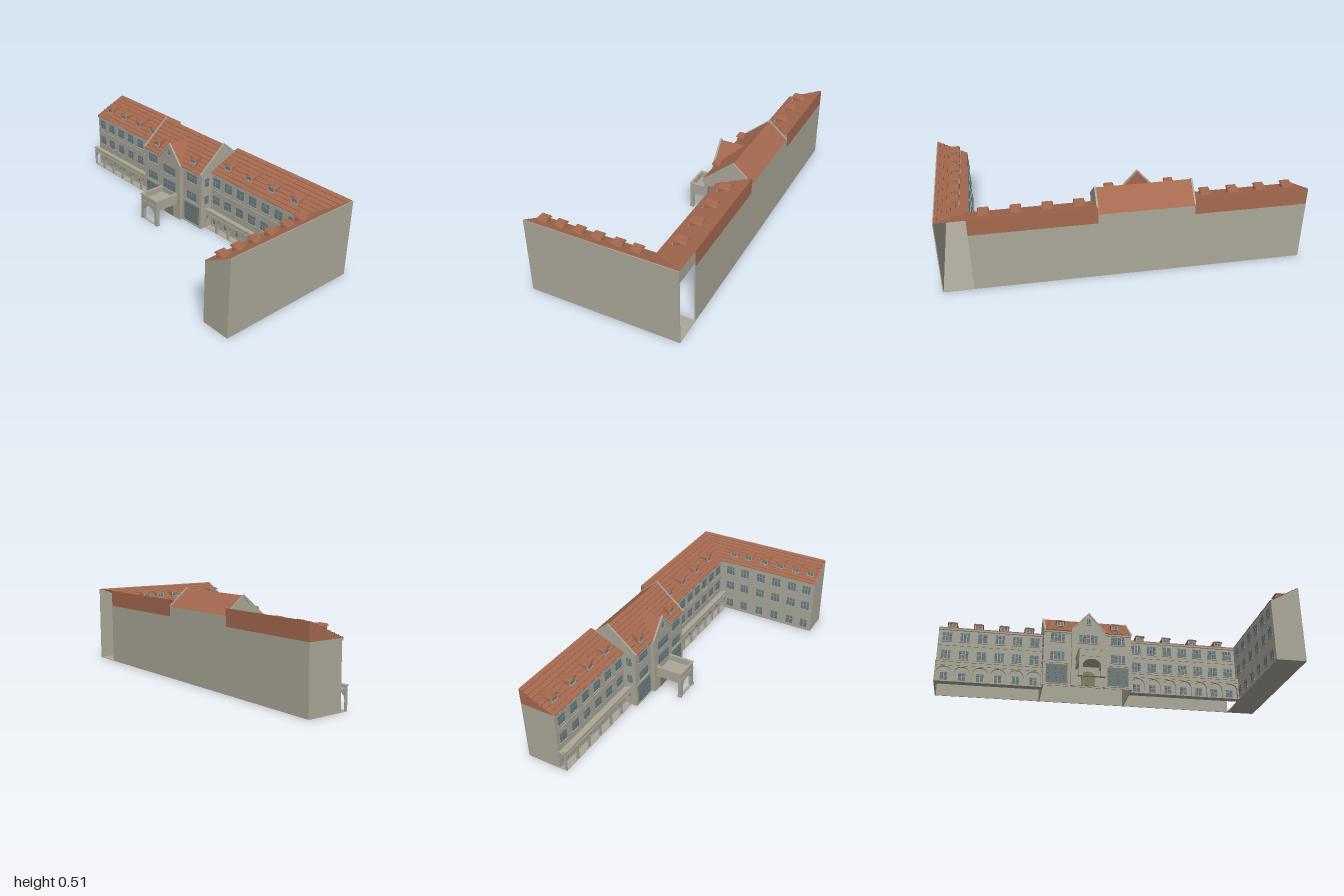
import * as THREE from 'three';

const mat = (name, color, side = THREE.FrontSide) => {
  const m = new THREE.MeshStandardMaterial({ color, side });
  m.name = name;
  return m;
};

export function createModel() {
  const stone = mat('stone', 0xaaa698, THREE.DoubleSide);
  const tile = mat('roofTile', 0xa5694f, THREE.DoubleSide);
  const glass = mat('windowGlass', 0x687c84);
  const olive = mat('doorWood', 0x807d60);
  const model = new THREE.Group();
  model.name = 'building';

  const add = (parent, name, geo, m) => {
    const mesh = new THREE.Mesh(geo, m);
    mesh.name = name;
    parent.add(mesh);
    return mesh;
  };
  // Box given by its extents
  const box = (p, name, m, x0, x1, y0, y1, z0, z1) => {
    const b = add(p, name, new THREE.BoxGeometry(x1 - x0, y1 - y0, z1 - z0), m);
    b.position.set((x0 + x1) / 2, (y0 + y1) / 2, (z0 + z1) / 2);
    return b;
  };
  const outline = pts => new THREE.Shape(pts.map(p => new THREE.Vector2(p[0], p[1])));
  // (x, y) outline extruded along z
  const prismZ = (name, m, pts, z0, z1) => {
    const g = new THREE.ExtrudeGeometry(outline(pts), { depth: z1 - z0, bevelEnabled: false });
    return add(model, name, g.translate(0, 0, z0), m);
  };
  // (z, y) outline extruded along x
  const prismX = (name, m, pts, x0, x1) => {
    const g = new THREE.ExtrudeGeometry(outline(pts.map(([z, y]) => [-z, y])), { depth: x1 - x0, bevelEnabled: false });
    return add(model, name, g.rotateY(Math.PI / 2).translate(x0, 0, 0), m);
  };
  // Flat polygon fan
  const face = (name, m, ...pts) => {
    const v = [];
    for (let i = 1; i < pts.length - 1; i++) v.push(...pts[0], ...pts[i], ...pts[i + 1]);
    const g = new THREE.BufferGeometry();
    g.setAttribute('position', new THREE.Float32BufferAttribute(v, 3));
    g.computeVertexNormals();
    return add(model, name, g, m);
  };
  // Roof slope laid in overlapping courses from eave a-b up to ridge c-d
  const courses = (name, a, b, c, d, n) => {
    const v = [], lerp = (p, q, t, dy) => p.map((k, i) => k + (q[i] - k) * t + (i === 1 ? dy : 0));
    const quad = (p, q, r, s) => v.push(...p, ...q, ...r, ...p, ...r, ...s);
    for (let i = 0; i < n; i++) {
      const t = i / n, u = (i + 1) / n, h = 0.004;
      quad(lerp(a, c, t, h), lerp(b, d, t, h), lerp(b, d, u, 0), lerp(a, c, u, 0));
      quad(lerp(a, c, t, -0.001), lerp(b, d, t, -0.001), lerp(b, d, t, h), lerp(a, c, t, h));
    }
    const g = new THREE.BufferGeometry();
    g.setAttribute('position', new THREE.Float32BufferAttribute(v, 3));
    g.computeVertexNormals();
    add(model, name, g, tile);
  };
  // Window of several panes with a transom, a sill and a head
  const win = (p, x, y, w, h, cols, z, rows = [0.62, 0.38]) => {
    const pw = w / cols, gap = 0.005;
    for (let c = 0; c < cols; c++) {
      let yy = y;
      for (const r of rows) {
        const x0 = x - w / 2 + c * pw;
        box(p, 'windowPane', glass, x0 + gap / 2, x0 + pw - gap / 2, yy, yy + r * h - 0.004, z - 0.004, z + 0.004);
        yy += r * h;
      }
    }
    box(p, 'windowSill', stone, x - w / 2 - 0.003, x + w / 2 + 0.003, y - 0.006, y - 0.001, z - 0.002, z + 0.007);
  };

  const EAVE = 0.355, RIDGE = 0.45, BACK = -0.435, WALL = -0.23, CX = -0.113;

  // Main range walls
  for (const [x0, x1] of [[-1, -0.375], [0.15, 0.832]]) {
    box(model, 'frontWall', stone, x0, x1, 0, EAVE, WALL - 0.005, WALL);
    box(model, 'backWall', stone, x0, x1, 0, EAVE, BACK, BACK + 0.005);
    face('roofBack', tile, [x1, EAVE, BACK], [x0, EAVE, BACK], [x0, RIDGE, BACK], [x1, RIDGE, BACK]);
    box(model, 'eavesCornice', stone, x0, x1, EAVE - 0.012, EAVE - 0.002, WALL, WALL + 0.008);
    box(model, 'stringCourse', stone, x0, x1, 0.243, 0.249, WALL, WALL + 0.004);
  }
  box(model, 'endWall', stone, -1, -0.995, 0, EAVE, BACK, WALL);
  face('roofEnd', tile, [-1, EAVE, BACK], [-1, EAVE, -0.225], [-1, RIDGE, BACK]);
  courses('leftRoof', [-1, EAVE, -0.222], [-0.375, EAVE, -0.222], [-1, RIDGE, BACK], [-0.375, RIDGE, BACK], 8);
  courses('rightRoof', [0.15, EAVE, -0.222], [0.828, EAVE, -0.222], [0.15, RIDGE, BACK], [1, RIDGE, BACK], 8);

  // Arcades with windows behind and above
  const arcade = (x0, x1, n) => {
    const bay = (x1 - x0) / n, shape = outline([[x0, 0], [x1, 0], [x1, 0.125], [x0, 0.125]]);
    for (let i = 0; i < n; i++) {
      const c = x0 + bay * (i + 0.5), r = bay * 0.42;
      const hole = new THREE.Path();
      hole.moveTo(c - r, 0.001);
      hole.lineTo(c + r, 0.001);
      hole.lineTo(c + r, 0.055);
      hole.absellipse(c, 0.055, r, 0.04, 0, Math.PI, false);
      hole.lineTo(c - r, 0.001);
      shape.holes.push(hole);
      win(model, c, 0.022, 0.046, 0.052, 2, WALL);
      win(model, c, 0.158, 0.058, 0.058, i % 3 === 2 ? 2 : 3, WALL);
      win(model, c, 0.272, 0.058, 0.06, i % 3 === 2 ? 2 : 3, WALL);
    }
    const g = new THREE.ExtrudeGeometry(shape, { depth: 0.012, bevelEnabled: false, curveSegments: 10 });
    add(model, 'arcadeFront', g.translate(0, 0, -0.2), stone);
    box(model, 'arcadeRoof', stone, x0, x1, 0.106, 0.114, WALL, -0.19);
    box(model, 'arcadeCoping', stone, x0, x1, 0.121, 0.129, -0.205, -0.183);
    box(model, 'arcadeBand', stone, x0, x1, 0.099, 0.104, -0.19, -0.184);
    box(model, 'arcadeFloor', stone, x0, x1, 0, 0.003, WALL, -0.188);
  };
  arcade(-1, -0.375, 6);
  arcade(0.15, 0.83, 7);

  // Side wing with a single-pitch roof
  box(model, 'wingOuterWall', stone, 0.995, 1, 0, RIDGE, BACK, 0.435);
  box(model, 'wingInnerWall', stone, 0.83, 0.835, 0, EAVE, WALL, 0.435);
  box(model, 'wingFloor', stone, 0.83, 1, 0, 0.003, BACK, 0.435);
  prismZ('wingEndWall', stone, [[0.83, 0], [1, 0], [1, RIDGE], [0.83, EAVE]], 0.43, 0.435);
  courses('wingRoof', [0.828, EAVE, 0.435], [0.828, EAVE, -0.222], [1, RIDGE, 0.435], [1, RIDGE, BACK], 8);
  const wing = new THREE.Group();
  wing.name = 'wingFacade';
  wing.rotation.y = -Math.PI / 2;
  wing.position.x = 0.83;
  model.add(wing);
  const wingBays = [-0.155, -0.05, 0.065, 0.175, 0.285, 0.385];
  for (const z of wingBays) {
    win(wing, z, 0.022, 0.05, 0.06, 2, 0);
    win(wing, z, 0.158, 0.058, 0.058, 3, 0);
    win(wing, z, 0.272, 0.058, 0.06, 3, 0);
  }

  // Dormers: back reaches into the slope behind
  const dormer = (parent, x, z, y, depth, w = 0.05) => {
    const d = new THREE.Group();
    d.name = 'dormer';
    d.position.set(x, y, z);
    parent.add(d);
    box(d, 'dormerBody', tile, -w / 2, w / 2, -0.008, 0.034, -depth, -0.003);
    box(d, 'dormerFront', stone, -w / 2, w / 2, 0, 0.034, -0.003, 0);
    win(d, 0, 0.007, w - 0.012, 0.025, 2, 0, [1]);
    const roof = add(d, 'dormerRoof', new THREE.CylinderGeometry(0.7 * w, 0.86 * w, 0.01, 4, 1), tile);
    roof.geometry.rotateY(Math.PI / 4).scale(1, 1, (depth + 0.008) / (w * 1.22));
    roof.position.set(0, 0.037, -depth / 2 + 0.003);
  };
  for (const x of [-0.925, -0.77, -0.615, -0.46, 0.235, 0.405, 0.575, 0.745]) dormer(model, x, -0.278, 0.38, 0.075);
  for (const z of wingBays) dormer(wing, z, -0.045, 0.38, 0.058);
  for (const s of [-1, 1]) dormer(model, CX + s * 0.168, -0.168, 0.392, 0.04, 0.045);

  // Central block
  const X0 = -0.375, X1 = 0.15, CF = -0.15, TOP = 0.508, MID = -0.32, BE = 0.41;
  box(model, 'centreFrontWall', stone, X0, X1, 0, EAVE, CF - 0.005, CF);
  box(model, 'centreBackWall', stone, X0, X1, 0, BE, BACK, BACK + 0.005);
  box(model, 'centreCornice', stone, X0, X1, EAVE - 0.014, EAVE - 0.004, CF, CF + 0.008);
  box(model, 'centreStringCourse', stone, X0, X1, 0.144, 0.15, CF, CF + 0.004);
  courses('centreRoofFront', [X0, EAVE, -0.14], [X1, EAVE, -0.14], [X0, TOP, MID], [X1, TOP, MID], 9);
  face('centreRoofBack', tile, [X1, BE, BACK], [X0, BE, BACK], [X0, TOP, MID], [X1, TOP, MID]);
  const gable = [[BACK, 0], [CF, 0], [CF, EAVE], [MID, TOP], [BACK, BE]];
  const coping = [[-0.14, EAVE - 0.01], [-0.14, EAVE + 0.007], [MID, TOP + 0.006], [BACK, BE + 0.006], [BACK, BE - 0.01], [MID, TOP - 0.01]];
  for (const [x, s] of [[X0, -1], [X1, 1]]) {
    prismX('centreGableWall', stone, gable, x - 0.003, x + 0.003);
    prismX('gableCoping', stone, coping, x - 0.005, x + 0.005);
    const side = new THREE.Group();
    side.name = 'gableSideWindows';
    side.rotation.y = s * Math.PI / 2;
    side.position.set(x + s * 0.003, 0, -0.19);
    model.add(side);
    for (const y of [0.16, 0.275]) win(side, 0, y, 0.036, 0.055, 2, 0);
  }
  for (const s of [-1, 1]) {
    const x = CX + s * 0.183;
    box(model, 'hallWindowFrame', olive, x - 0.064, x + 0.064, 0.012, 0.136, CF - 0.007, CF + 0.002);
    win(model, x, 0.016, 0.122, 0.12, 5, CF, [0.26, 0.26, 0.24, 0.24]);
    win(model, x, 0.165, 0.088, 0.055, 4, CF);
    win(model, x, 0.283, 0.088, 0.055, 4, CF);
  }

  // Projecting bay with cross gable
  const BF = -0.128, PEAK = 0.47, HW = 0.097;
  prismZ('bayFront', stone, [[CX - HW, 0], [CX + HW, 0], [CX + HW, EAVE], [CX, PEAK + 0.006], [CX - HW, EAVE]], BF - 0.005, BF);
  for (const s of [-1, 1]) {
    box(model, 'baySide', stone, CX + s * HW - 0.003, CX + s * HW + 0.003, 0, EAVE, CF, BF);
    face('crossGableRoof', tile, [CX + s * HW, EAVE, BF], [CX, PEAK, BF], [CX, PEAK, -0.276], [CX + s * HW, EAVE, -0.14]);
    const a = [CX + s * (HW + 0.005), EAVE - 0.006], b = [CX, PEAK + 0.008];
    prismZ('bayCoping', stone, [a, [a[0], a[1] + 0.012], b, [b[0], b[1] - 0.014]], BF - 0.006, BF + 0.005);
  }
  win(model, CX, 0.17, 0.115, 0.065, 5, BF);
  win(model, CX, 0.275, 0.115, 0.055, 5, BF);
  win(model, CX, 0.4, 0.024, 0.036, 2, BF);

  // Arched shape for the door and the porch opening
  const arch = (c, r, spring, rise, P) => {
    const p = new P();
    p.moveTo(c - r, 0.001);
    p.lineTo(c + r, 0.001);
    p.lineTo(c + r, spring);
    p.absellipse(c, spring, r, rise, 0, Math.PI, false);
    p.lineTo(c - r, 0.001);
    return p;
  };
  const door = new THREE.ExtrudeGeometry(arch(CX, 0.04, 0.06, 0.03, THREE.Shape), { depth: 0.009, bevelEnabled: false });
  add(model, 'entranceDoor', door.translate(0, 0, BF - 0.006), olive);

  // Entrance porch with balcony
  const PX = 0.074, PF = 0.035;
  const porch = outline([[CX - PX, 0], [CX + PX, 0], [CX + PX, 0.13], [CX - PX, 0.13]]);
  porch.holes.push(arch(CX, 0.052, 0.065, 0.04, THREE.Path));
  const porchGeo = new THREE.ExtrudeGeometry(porch, { depth: 0.02, bevelEnabled: false });
  add(model, 'porchFront', porchGeo.translate(0, 0, PF - 0.023), stone);
  box(model, 'porchDeck', stone, CX - PX, CX + PX, 0.12, 0.13, BF, PF);
  box(model, 'porchParapet', stone, CX - PX, CX + PX, 0.13, 0.162, PF - 0.01, PF - 0.003);
  box(model, 'porchRail', stone, CX - PX - 0.003, CX + PX + 0.003, 0.162, 0.168, PF - 0.013, PF);
  for (const s of [-1, 1]) {
    const x = CX + s * (PX - 0.005);
    box(model, 'porchSideBeam', stone, x - 0.005, x + 0.005, 0.1, 0.162, BF, PF - 0.003);
    box(model, 'porchSideRail', stone, x - 0.008, x + 0.008, 0.162, 0.168, BF, PF);
    box(model, 'porchPier', stone, x - 0.009, x + 0.009, 0, 0.012, PF - 0.026, PF);
  }
  return model;
}
